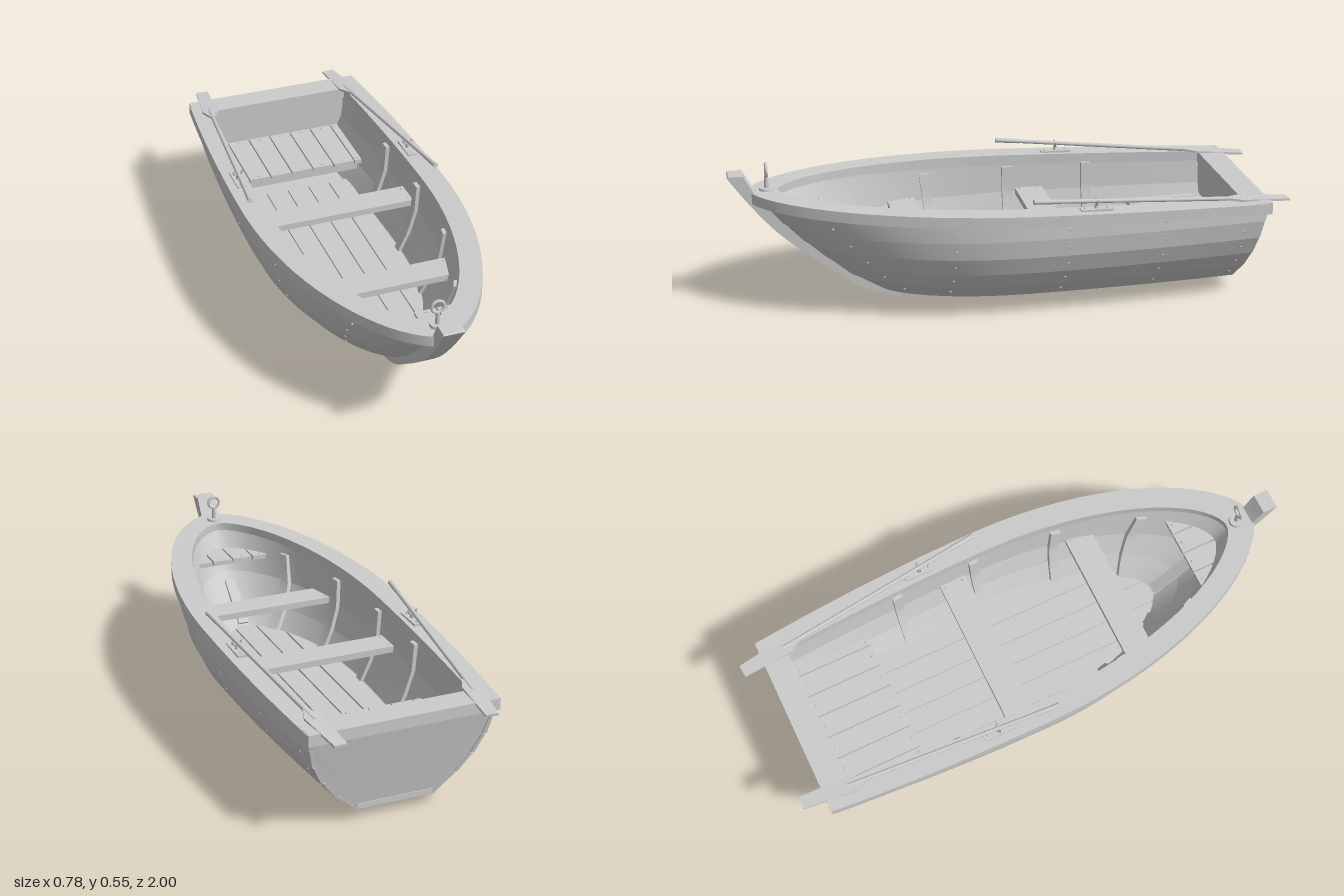
import * as THREE from 'three';
import { mergeGeometries, toCreasedNormals } from 'three/addons/utils/BufferGeometryUtils.js';

const mat = new THREE.MeshStandardMaterial({ color: 0xcccccc, side: THREE.DoubleSide });
const V = (x, y, z) => new THREE.Vector3(x, y, z);
const mesh = (name, geo) => {
  const m = new THREE.Mesh(geo, mat);
  m.name = name;
  return m;
};
const box = (w, h, d, x, y, z) => new THREE.BoxGeometry(w, h, d).translate(x, y, z);

// Hull waterlines: height, half beam, bow z, stern narrowing
const HULL = [
  [0.04, 0.18, 0.46, 0.25], [0.11, 0.266, 0.575, 0.2], [0.18, 0.323, 0.66, 0.16],
  [0.25, 0.356, 0.74, 0.13], [0.32, 0.371, 0.81, 0.11], [0.39, 0.375, 0.9, 0.11],
].map(([y, w, zb, c]) => ({ y, w, zb, c, zs: -0.85 - 0.17 * (y - 0.04) }));
// The same for the inner lining
const LINING = [
  [0.1, 0.235, 0.535, 0.35], [0.18, 0.272, 0.635, 0.2], [0.27, 0.298, 0.73, 0.13], [0.39, 0.306, 0.82, 0.11],
].map(([y, w, zb, c]) => ({ y, w, zb, c, zs: -0.835 }));
const sheer = z => 0.417 + 0.03 * z;

// Waterline at any height
function levelAt(levels, y) {
  let k = 0;
  while (k < levels.length - 2 && levels[k + 1].y < y) k++;
  const a = levels[k], b = levels[k + 1], out = {};
  for (const key in a) out[key] = THREE.MathUtils.lerp(a[key], b[key], (y - a.y) / (b.y - a.y));
  return out;
}
function halfBeam(L, z) {
  if (z < -0.05) return L.w * (1 - L.c * ((z + 0.05) / 0.87) ** 2);
  const u = (z + 0.05) / (L.zb + 0.05);
  return L.w * Math.max(0, 1 - u * u) ** 0.6;
}
// Horizontal outline, from one stern corner round the bow to the other
function outline(L, off, height) {
  const M = { ...L, w: L.w + off, zb: L.zb + off }, pts = [], n = 56;
  for (let i = 0; i <= n; i++) {
    const t = (2 * i) / n - 1;
    const z = M.zs + (M.zb - M.zs) * Math.sin((1 - Math.abs(t)) * Math.PI / 2);
    pts.push(V(Math.sign(t) * halfBeam(M, z), height ? height(z) : L.y, z));
  }
  return pts;
}

// Solid through matching rings, smooth lengthwise and sharp across
function loft(rings) {
  const pos = [], idx = [], n = rings[0].length;
  const add = p => pos.push(p.x, p.y, p.z) / 3 - 1;
  for (let j = 0; j < n; j++) {
    const base = pos.length / 3;
    rings.forEach(r => { add(r[j]); add(r[(j + 1) % n]); });
    for (let i = 0; i < rings.length - 1; i++) {
      const a = base + 2 * i;
      idx.push(a, a + 1, a + 2, a + 1, a + 3, a + 2);
    }
  }
  [rings[0], rings[rings.length - 1]].forEach((r, end) => {
    const b = r.map(add)[0];
    for (let j = 1; j < n - 1; j++) idx.push(b, b + (end ? j : j + 1), b + (end ? j + 1 : j));
  });
  // Turn the faces outward
  const P = i => V(pos[3 * i], pos[3 * i + 1], pos[3 * i + 2]);
  let volume = 0;
  for (let i = 0; i < idx.length; i += 3) volume += P(idx[i]).dot(P(idx[i + 1]).cross(P(idx[i + 2])));
  if (volume < 0) idx.reverse();
  const g = new THREE.BufferGeometry();
  g.setAttribute('position', new THREE.Float32BufferAttribute(pos, 3));
  g.setIndex(idx);
  g.computeVertexNormals();
  return g;
}
const loftOutlines = lines => loft(lines[0].map((_, i) => lines.map(l => l[i])));
// Flat slab filling a waterline
const slab = (L, y0, y1) => loft(outline(L, -0.003).slice(28).reverse().map(({ x, z }) =>
  [V(-x, y0, z), V(x, y0, z), V(x, y1, z), V(-x, y1, z)]));

// Row of planks whose front ends follow the lining
function planks(count, pitch, zBack, y, thick) {
  const { w, zb } = levelAt(LINING, y - thick / 2), geos = [];
  const front = x => -0.05 + (zb + 0.05) * Math.sqrt(Math.max(0, 1 - Math.min(1, Math.abs(x) / w) ** (1 / 0.6)));
  for (let i = 0; i < count; i++) {
    const x0 = (i - count / 2) * pitch + 0.003, x1 = x0 + pitch - 0.006;
    const s = new THREE.Shape().moveTo(x1, zBack).lineTo(x0, zBack);
    for (let k = 0; k <= 8; k++) {
      const x = x0 + (x1 - x0) * k / 8;
      s.lineTo(x, Math.max(zBack + 0.005, front(x)));
    }
    geos.push(new THREE.ExtrudeGeometry(s, { depth: thick, bevelEnabled: false }).rotateX(Math.PI / 2).translate(0, y, 0));
  }
  return mergeGeometries(geos);
}

function oar(side) {
  const g = new THREE.Group();
  g.name = 'oar';
  const rod = (r0, r1, a, b) => new THREE.CylinderGeometry(r1, r0, b - a, 12).rotateX(Math.PI / 2).translate(0, 0, (a + b) / 2);
  g.add(mesh('oarShaft', rod(0.0075, 0.0075, 0.06, 0.8)), mesh('oarGrip', rod(0.0095, 0.0085, 0, 0.09)));
  const s = new THREE.Shape([[-0.009, 0.73], [-0.031, 0.78], [-0.023, 0.968], [0.023, 0.968], [0.031, 0.78], [0.009, 0.73]]
    .map(p => new THREE.Vector2(...p)));
  g.add(mesh('oarBlade', new THREE.ExtrudeGeometry(s, { depth: 0.008, bevelEnabled: false })
    .rotateX(Math.PI / 2).translate(0, 0.004, 0)));
  g.position.set(side * 0.36, 0.461, -0.04);
  g.lookAt(side * 0.27, 0.382, -0.998);
  return g;
}

export function createModel() {
  const boat = new THREE.Group();
  boat.name = 'rowingBoat';
  const rivets = [];
  const rivet = (x, y, z) => rivets.push(new THREE.SphereGeometry(0.0045, 8, 6).translate(x, y, z));

  // Overlapping side planks with their rivets
  for (let k = 0; k < 5; k++) {
    const a = HULL[k], b = HULL[k + 1], top = k === 4 ? z => sheer(z) - 0.025 : null;
    const lap = k ? 0.006 : 0, low = { ...a, y: a.y + (k ? 0.002 : 0) };
    boat.add(mesh('sidePlank', loftOutlines([
      outline(low, lap), outline(b, 0, top), outline(b, -0.014, top), outline(low, -0.014)])));
    const mid = levelAt(HULL, a.y + 0.036);
    for (const z of [-0.05 + 0.77 * (mid.zb + 0.05), 0.23, -0.17, -0.52, -0.82])
      for (const s of [-1, 1]) rivet(s * (halfBeam(mid, z) + 0.002), mid.y, z);
  }
  boat.add(mesh('bottom', slab(HULL[0], 0.041, 0.06)));

  // Transom and its inner face
  const transomRing = dz => {
    const right = HULL.map((L, k) => V(halfBeam(L, L.zs) - 0.007, k === 5 ? 0.37 : L.y + 0.002, L.zs + dz));
    return [...right, ...right.map(p => V(-p.x, p.y, p.z)).reverse()];
  };
  boat.add(mesh('transom', loft([transomRing(0.006), transomRing(0.03)])));
  boat.add(mesh('transomLining', box(0.545, 0.18, 0.015, 0, 0.285, -0.835)));

  // Inner lining from the gunwale down to the floor
  const top = LINING.length - 1, lipY = k => k === top ? z => sheer(z) - 0.03 : null;
  boat.add(mesh('lining', loftOutlines([
    ...LINING.map((L, k) => outline(L, 0, lipY(k))),
    ...LINING.map((L, k) => outline(L, 0.006, lipY(k))).reverse()])));
  boat.add(mesh('floor', slab(LINING[0], 0.092, 0.1)));

  // Gunwale and stern cap
  const rimOut = { w: 0.389, zb: 0.925, zs: -0.915, c: 0.11 }, rimIn = { ...rimOut, w: 0.305, zb: 0.82 };
  const under = z => sheer(z) - 0.04;
  boat.add(mesh('gunwale', loftOutlines([
    outline(rimOut, 0, under), outline(rimOut, 0, sheer), outline(rimIn, 0, sheer), outline(rimIn, 0, under)])));
  boat.add(mesh('sternCap', box(0.69, 0.042, 0.095, 0, 0.371, -0.8725)));

  // Stem, tapering towards its foot
  const stem = new THREE.Shape().moveTo(0.39, 0);
  stem.splineThru([[0.53, 0.05], [0.68, 0.16], [0.79, 0.25], [0.86, 0.32], [0.94, 0.42], [1, 0.505]].map(p => new THREE.Vector2(...p)));
  for (const p of [[0.995, 0.51], [0.945, 0.51], [0.9, 0.43], [0.79, 0.32], [0.64, 0.18], [0.5, 0.085], [0.37, 0.04]]) stem.lineTo(...p);
  const stemGeo = new THREE.ExtrudeGeometry(stem, { depth: 2, bevelEnabled: false, curveSegments: 5 })
    .rotateY(-Math.PI / 2).translate(1, 0, 0);
  const sp = stemGeo.attributes.position;
  for (let i = 0; i < sp.count; i++) sp.setX(i, sp.getX(i) * (0.019 + 0.036 * sp.getY(i)));
  boat.add(mesh('stem', toCreasedNormals(stemGeo, 0.5)));
  boat.add(mesh('bowRib', box(0.04, 0.024, 0.2, 0, 0, 0).rotateX(-0.7).translate(0, 0.175, 0.622)));

  // Ribs, those at the bow leaning forward
  for (const [z0, rake] of [[-0.38, 0], [-0.07, 0], [0.24, 0.12], [0.52, 0.4]])
    for (const s of [-1, 1]) {
      const rings = [];
      for (let i = 0; i <= 8; i++) {
        const y = 0.1 + i * 0.034, L = levelAt(LINING, y), z = z0 + rake * (y - 0.25);
        const p = (dz, inset) => V(s * (halfBeam(L, z + dz) - inset), y, z + dz);
        rings.push([p(-0.018, -0.003), p(0.018, -0.003), p(0.018, 0.015), p(-0.018, 0.015)]);
      }
      boat.add(mesh('rib', loft(rings)));
    }

  // Floor boards and bow deck
  boat.add(mesh('floorBoards', planks(5, 0.087, -0.6, 0.108, 0.012)));
  boat.add(mesh('bowDeck', planks(4, 0.083, 0.65, 0.35, 0.018)));
  for (const x of [-0.12, -0.042, 0.042, 0.12]) rivet(x, 0.35, 0.665);

  // Stern platform on two beams, with narrow edge boards
  const edges = [-0.25, -0.2175, -0.1305, -0.0435, 0.0435, 0.1305, 0.2175, 0.25], slats = [];
  for (let i = 0; i < 7; i++) {
    const x = (edges[i] + edges[i + 1]) / 2;
    slats.push(box(edges[i + 1] - edges[i] - 0.005, 0.018, 0.305, x, 0.222, -0.6825));
    for (const z of [-0.81, -0.545]) rivet(x, 0.231, z);
  }
  boat.add(mesh('sternPlatform', mergeGeometries(slats)));
  for (const z of [-0.8, -0.55]) boat.add(mesh('platformBeam', box(0.46, 0.025, 0.03, 0, 0.202, z)));

  // Rowing benches
  for (const [z, w] of [[-0.157, 0.302], [0.345, 0.27]]) {
    boat.add(mesh('bench', box(2 * w, 0.024, 0.105, 0, 0.272, z)));
    for (const s of [-1, 1]) for (const dz of [-0.035, 0.035]) rivet(s * (w - 0.018), 0.284, z + dz);
  }
  boat.add(mesh('rivets', mergeGeometries(rivets)));

  // Oars and oarlocks
  for (const s of [-1, 1]) {
    boat.add(oar(s));
    const lock = new THREE.Group();
    lock.name = 'oarlock';
    lock.add(mesh('oarlockPlate', box(0.036, 0.01, 0.115, 0, 0, 0)));
    lock.add(mesh('oarlockPin', new THREE.CylinderGeometry(0.006, 0.008, 0.025, 12).translate(0, 0.01, 0)));
    lock.add(mesh('oarlockHorns', new THREE.TorusGeometry(0.016, 0.0045, 8, 16, Math.PI).rotateZ(Math.PI).translate(0, 0.036, 0)));
    for (const z of [-0.04, 0.04])
      lock.add(mesh('oarlockScrew', new THREE.SphereGeometry(0.006, 8, 6).translate(0, 0.005, z)));
    lock.position.set(s * 0.338, 0.411, -0.27);
    boat.add(lock);
  }

  // Mooring ring
  boat.add(mesh('mooringPlate', new THREE.CylinderGeometry(0.026, 0.028, 0.01, 20).translate(0, 0.447, 0.86)));
  boat.add(mesh('mooringPost', new THREE.CylinderGeometry(0.007, 0.009, 0.05, 12).translate(0, 0.472, 0.86)));
  boat.add(mesh('mooringRing', new THREE.TorusGeometry(0.022, 0.0055, 10, 28).translate(0, 0.518, 0.86)));
  return boat;
}
